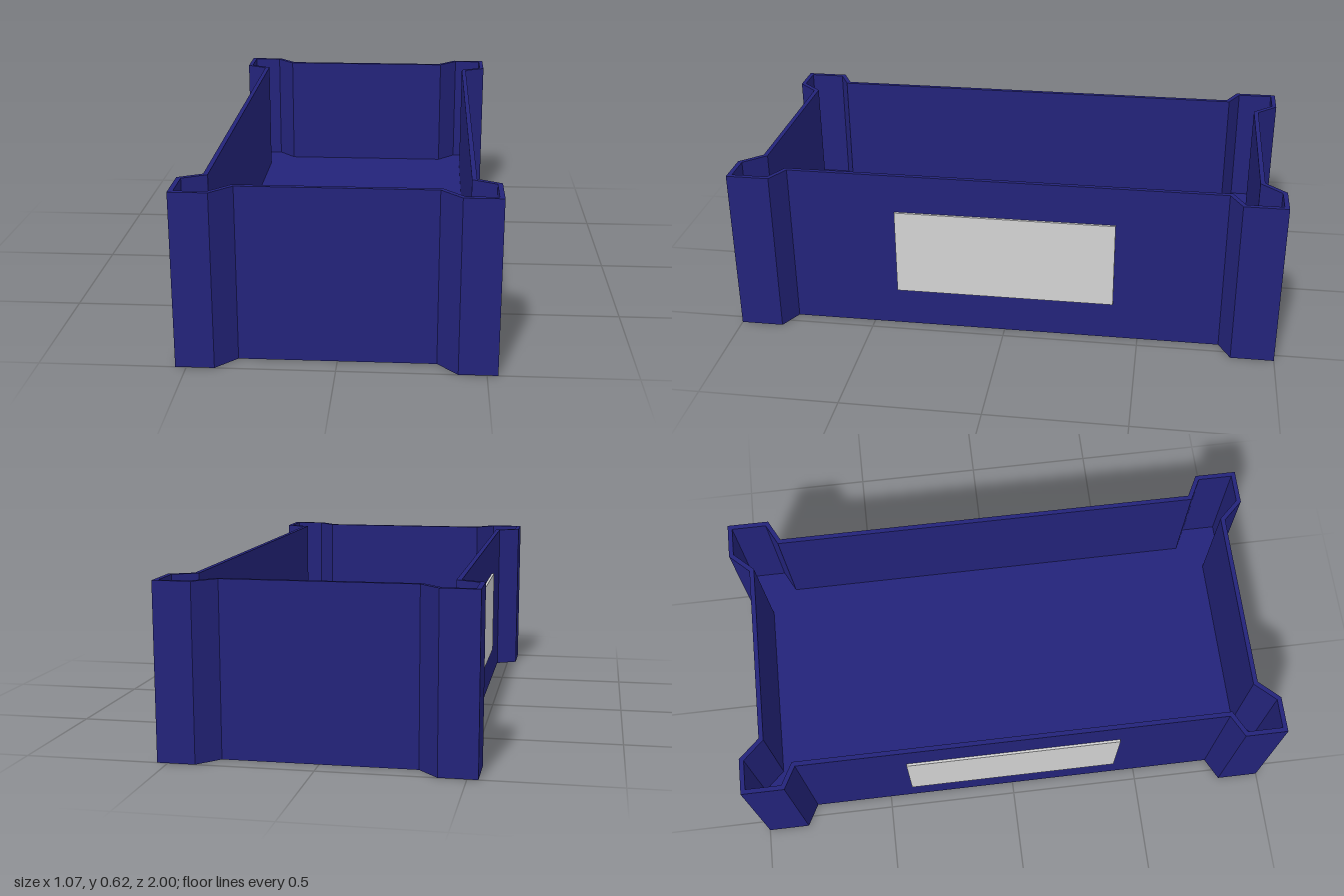
import * as THREE from 'three';

const HEIGHT = 0.615, FLOOR = 0.16, WALL = 0.017;

// One corner of the plan (x, z), running from the long side to the short side
const CORNER = [[0.455, 0.8], [0.537, 0.843], [0.537, 1], [0.405, 1], [0.335, 0.925]];

// Mirror the corner into a full counter-clockwise outline
function planOutline() {
  const points = [];
  for (const [sx, sz] of [[1, 1], [-1, 1], [-1, -1], [1, -1]]) {
    const quarter = CORNER.map(([x, z]) => new THREE.Vector2(x * sx, z * sz));
    points.push(...(sx * sz > 0 ? quarter : quarter.reverse()));
  }
  return points;
}

// Shift every edge inwards by the wall thickness, with mitred corners
function inset(points, distance) {
  const n = points.length;
  const inward = (a, b) => new THREE.Vector2(a.y - b.y, b.x - a.x).normalize();
  return points.map((p, i) => {
    const n1 = inward(points[(i + n - 1) % n], p);
    const n2 = inward(p, points[(i + 1) % n]);
    const miter = n1.clone().add(n2).multiplyScalar(distance / (1 + n1.dot(n2)));
    return p.clone().add(miter);
  });
}

// Extrude a plan shape upwards from the ground
function extrudeUp(shape, height) {
  return new THREE.ExtrudeGeometry(shape, { depth: height, bevelEnabled: false }).rotateX(-Math.PI / 2);
}

export function createModel() {
  const model = new THREE.Group();
  model.name = 'crate';
  const navy = new THREE.MeshStandardMaterial({ name: 'navy', color: 0x23237a });
  const lightGrey = new THREE.MeshStandardMaterial({ name: 'light grey', color: 0xd3d3d3 });

  const add = (name, geometry, material) => {
    const mesh = new THREE.Mesh(geometry, material);
    mesh.name = name;
    model.add(mesh);
    return mesh;
  };

  const outer = planOutline();
  const inner = inset(outer, WALL);

  // Walls with the hollow corner posts
  const ring = new THREE.Shape(outer);
  ring.holes.push(new THREE.Path(inner));
  add('walls', extrudeUp(ring, HEIGHT), navy);

  // Thick floor filling the inside
  add('floor', extrudeUp(new THREE.Shape(inner), FLOOR), navy);

  // Label plates on the two long sides
  for (const [name, side] of [['leftLabel', 1], ['rightLabel', -1]]) {
    const label = add(name, new THREE.BoxGeometry(0.009, 0.325, 0.81), lightGrey);
    label.position.set(side * 0.4595, 0.3075, 0);
  }
  return model;
}
